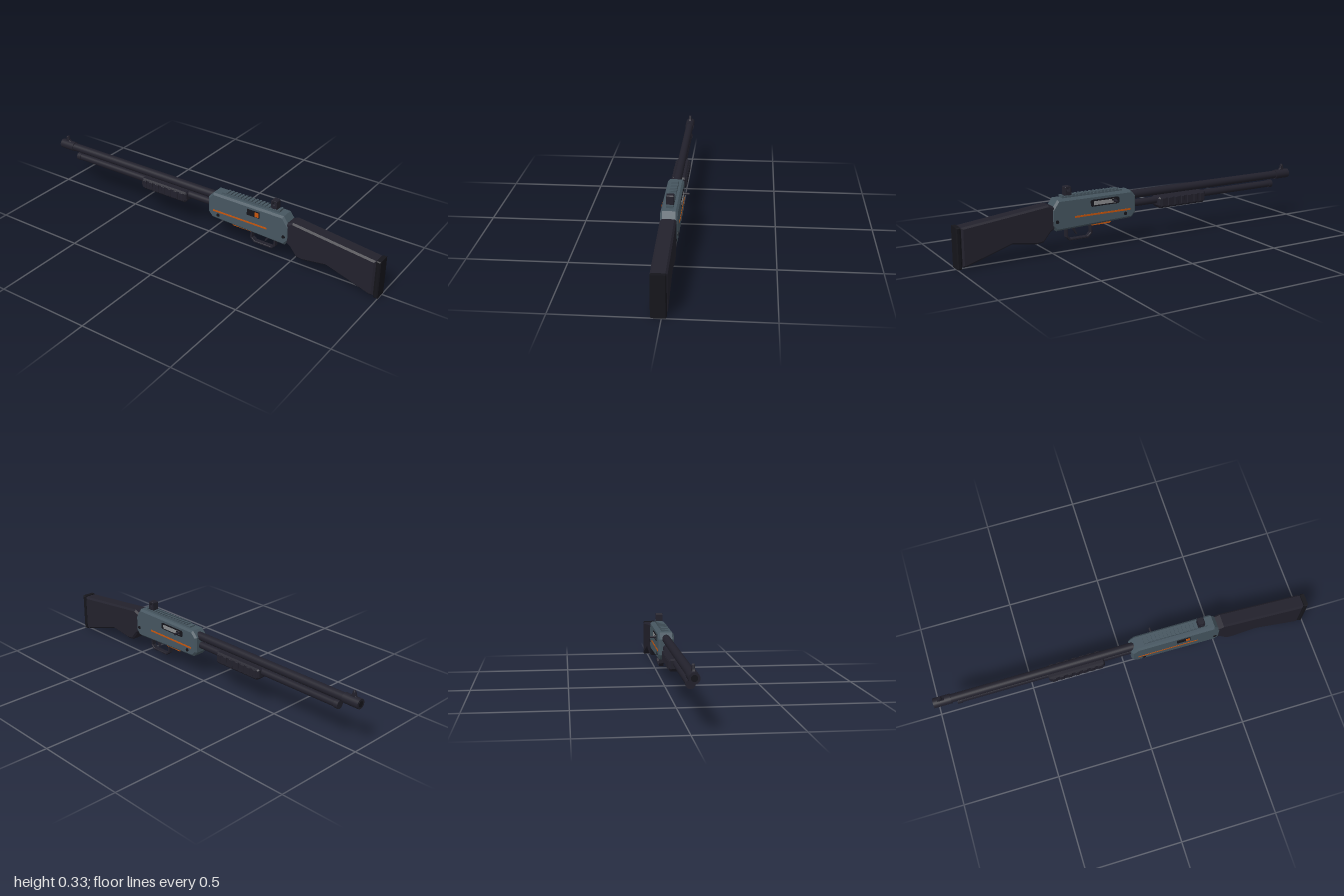
import * as THREE from 'three';

export function createModel() {
  const mat = (name, color) => {
    const m = new THREE.MeshStandardMaterial({ color });
    m.name = name;
    return m;
  };
  const steel = mat('blue grey steel', 0x465660);
  const dark = mat('dark polymer', 0x22212c);
  const black = mat('black', 0x15151b);
  const orange = mat('orange', 0xc8560c);
  const silver = mat('silver', 0x8a8c8e);

  const model = new THREE.Group();
  model.name = 'longGun';
  const body = new THREE.Group();
  body.name = 'body';
  body.position.x = -0.0135;
  model.add(body);

  const add = (name, geo, material, x = 0, y = 0, z = 0) => {
    const mesh = new THREE.Mesh(geo, material);
    mesh.name = name;
    mesh.position.set(x, y, z);
    body.add(mesh);
    return mesh;
  };
  const box = (name, material, w, h, d, x, y, z) =>
    add(name, new THREE.BoxGeometry(w, h, d), material, x, y, z);

  // Side outline given as [z, y], extruded across x with chamfered edges
  const path = (pts, Type) => new Type(pts.map(([z, y]) => new THREE.Vector2(-z, y)));
  const slab = (name, material, pts, half, bevel, holes = []) => {
    const shape = path(pts, THREE.Shape);
    shape.holes = holes.map((h) => path(h, THREE.Path));
    const geo = new THREE.ExtrudeGeometry(shape, {
      depth: 2 * (half - bevel), bevelEnabled: bevel > 0, bevelSize: bevel,
      bevelThickness: bevel, bevelOffset: -bevel, bevelSegments: 1, curveSegments: 8,
    });
    geo.translate(0, 0, -(half - bevel));
    geo.rotateY(Math.PI / 2);
    return add(name, geo, material);
  };
  // Round bar along z from z0 to z1
  const barZ = (name, material, r, y, z0, z1) => {
    const geo = new THREE.CylinderGeometry(r, r, Math.abs(z1 - z0), 24);
    geo.rotateX(Math.PI / 2);
    return add(name, geo, material, 0, y, (z0 + z1) / 2);
  };
  // Round bar along x from x0 to x1
  const barX = (name, material, r, x0, x1, y, z) => {
    const geo = new THREE.CylinderGeometry(r, r, Math.abs(x1 - x0), 16);
    geo.rotateZ(Math.PI / 2);
    return add(name, geo, material, (x0 + x1) / 2, y, z);
  };
  const rect = (z0, z1, y0, y1) => [[z1, y0], [z0, y0], [z0, y1], [z1, y1]];

  // Receiver
  slab('receiver', steel, [
    [0.485, 0.115], [0.055, 0.13], [0.03, 0.158], [0.03, 0.242],
    [0.06, 0.274], [0.475, 0.274], [0.51, 0.225], [0.51, 0.145],
  ], 0.0415, 0.01);

  // Stock and butt pad
  slab('stock', dark, [
    [0.975, 0.01], [0.975, 0.202], [0.525, 0.254], [0.49, 0.24], [0.49, 0.13],
    [0.515, 0.115], [0.553, 0.068], [0.59, 0.064], [0.72, 0.083], [0.955, 0.008],
  ], 0.0385, 0.009);
  slab('buttPad', black, rect(0.978, 1, 0, 0.205), 0.036, 0.005);
  slab('padSpacer', black, rect(0.97, 0.982, 0.012, 0.195), 0.03, 0);

  // Barrel, muzzle and front sight
  barZ('barrel', dark, 0.0215, 0.242, 0.05, -0.95);
  barZ('muzzleCollar', dark, 0.0255, 0.242, -0.91, -1);
  barZ('bore', black, 0.015, 0.242, -0.99, -1.001);
  slab('frontSight', dark, [
    [-0.935, 0.262], [-0.98, 0.262], [-0.972, 0.275], [-0.968, 0.292],
    [-0.962, 0.298], [-0.955, 0.295], [-0.95, 0.275],
  ], 0.007, 0.002);

  // Magazine tube
  barZ('magazineTube', dark, 0.0185, 0.194, 0.05, -0.87);
  barZ('magazineCap', dark, 0.0215, 0.194, -0.862, -0.885);

  // Pump grip with raised ribs
  slab('foreGrip', dark, [
    [-0.125, 0.153], [-0.395, 0.153], [-0.41, 0.168], [-0.41, 0.208],
    [-0.4, 0.215], [-0.12, 0.215], [-0.113, 0.205], [-0.113, 0.168],
  ], 0.037, 0.008);
  for (let i = 0; i < 7; i++) {
    const z = -0.14 - i * 0.0405;
    slab('gripRib', dark, rect(z - 0.012, z + 0.012, 0.163, 0.208), 0.0415, 0.003);
  }

  // Top rail with teeth
  box('railBase', steel, 0.036, 0.008, 0.34, 0, 0.277, 0.27);
  for (let i = 0; i < 16; i++)
    box('railTooth', steel, 0.036, 0.009, 0.011, 0, 0.284, 0.13 + i * 0.0205);

  // Rear sight with a cross opening
  slab('rearSight', dark, [
    [0.424, 0.284], [0.39, 0.284], [0.39, 0.326], [0.394, 0.33], [0.42, 0.33], [0.424, 0.326],
  ], 0.018, 0.001, [rect(0.399, 0.415, 0.306, 0.321)]);

  // Ejection port, bolt and handle
  const port = [
    [0.288, 0.217], [0.138, 0.217], [0.131, 0.224], [0.131, 0.246],
    [0.138, 0.252], [0.288, 0.252], [0.295, 0.246], [0.295, 0.224],
  ];
  slab('ejectionPort', black, port, 0.003, 0).position.x = 0.041;
  box('bolt', silver, 0.006, 0.02, 0.125, 0.0435, 0.234, 0.215);
  box('boltSlot', black, 0.003, 0.007, 0.02, 0.0465, 0.24, 0.165);
  barX('handleCollar', dark, 0.009, 0.042, 0.05, 0.235, 0.158);
  barX('boltHandle', dark, 0.006, 0.045, 0.0735, 0.235, 0.158);

  // Safety slide with orange marker
  slab('safetyPlate', black, rect(0.27, 0.342, 0.221, 0.253), 0.003, 0).position.x = -0.043;
  box('safetyMarker', orange, 0.004, 0.026, 0.022, -0.0455, 0.237, 0.328);

  // Stripes and pins on both sides
  for (const s of [-1, 1]) {
    box('sideStripe', orange, 0.003, 0.009, 0.32, s * 0.0415, 0.177, 0.225);
    barX('rearPin', black, 0.009, s * 0.03, s * 0.0445, 0.164, 0.482);
    barX('frontPin', black, 0.009, s * 0.03, s * 0.0445, 0.157, 0.095);
  }

  // Loading gate underneath
  slab('loadingGate', orange, [
    [0.28, 0.114], [0.175, 0.114], [0.163, 0.13], [0.29, 0.13],
  ], 0.022, 0);

  // Trigger and guard
  slab('triggerGuard', dark, [
    [0.42, 0.125], [0.42, 0.07], [0.4, 0.05], [0.295, 0.05], [0.272, 0.07], [0.272, 0.125],
  ], 0.013, 0.002, [[
    [0.409, 0.117], [0.409, 0.074], [0.395, 0.06], [0.3, 0.06], [0.283, 0.075], [0.283, 0.119],
  ]]);
  slab('trigger', dark, [
    [0.382, 0.125], [0.378, 0.1], [0.36, 0.076], [0.354, 0.08], [0.366, 0.1], [0.366, 0.125],
  ], 0.006, 0);

  return model;
}
